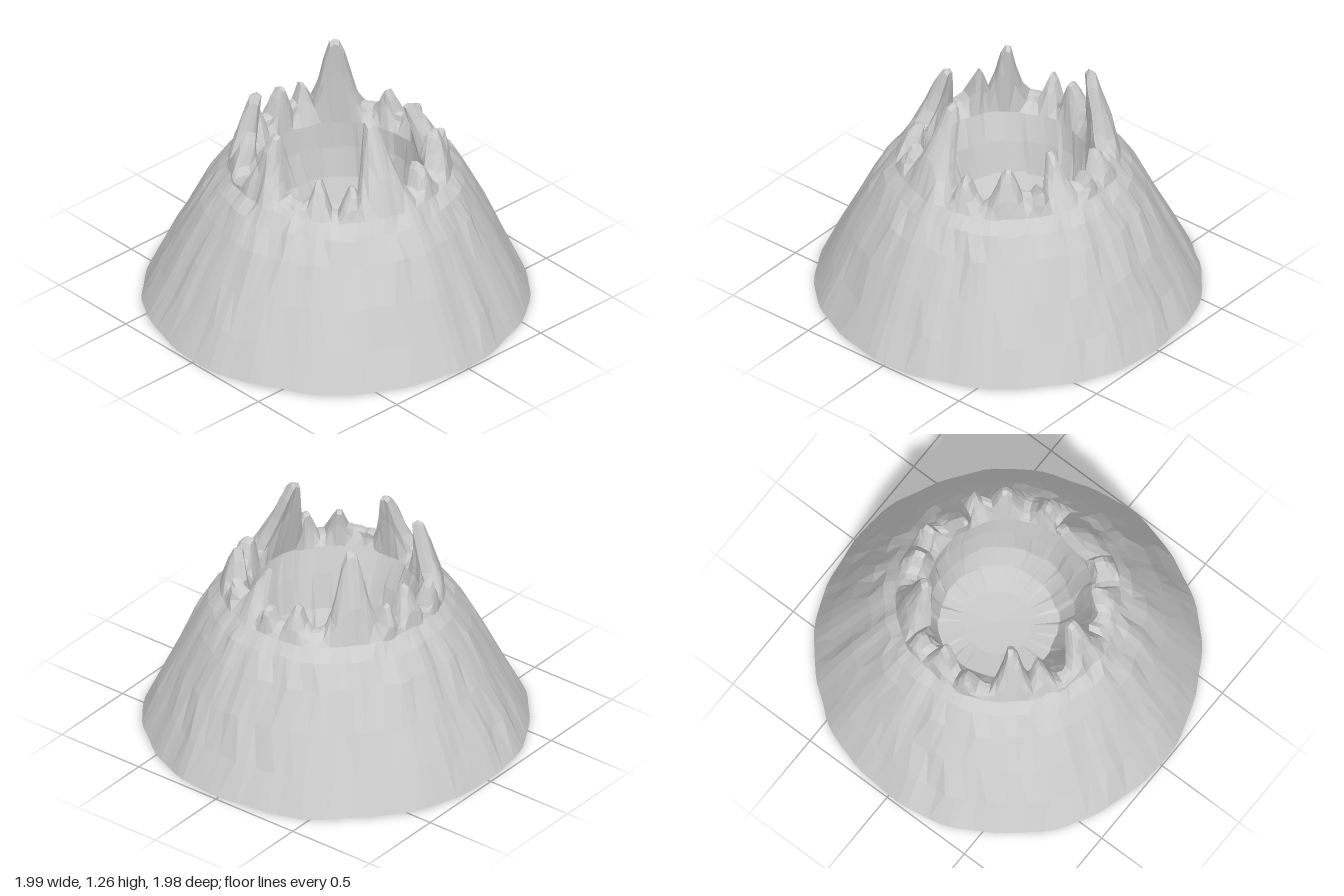
import * as THREE from 'three';

const COLUMNS = 104;
const TAU = Math.PI * 2;

// Repeatable noise in -1..1 for a grid cell
function noise(i, j) {
  const s = Math.sin(i * 127.1 + j * 311.7 + 4.7) * 43758.5453;
  return (s - Math.floor(s)) * 2 - 1;
}

// Crags around the crater: tip x, tip z, tip height, half width in radians
const CRAGS = [
  [-0.31, -0.28, 1.27, 0.38], [0.34, 0.08, 1.25, 0.36], [0.0, 0.41, 1.14, 0.28],
  [-0.31, 0.27, 1.18, 0.24], [0.13, -0.38, 1.04, 0.2], [0.39, -0.32, 1.04, 0.3],
  [-0.46, -0.04, 1.01, 0.24], [-0.43, 0.38, 1.03, 0.17], [0.27, 0.36, 0.97, 0.17],
  [0.41, 0.27, 0.95, 0.16], [-0.23, 0.38, 1.03, 0.16], [-0.5, 0.12, 0.98, 0.16],
  [-0.12, -0.47, 0.97, 0.18], [0.3, -0.44, 0.95, 0.14], [0.48, -0.12, 0.97, 0.18],
  [-0.47, -0.19, 0.97, 0.14], [0.14, 0.45, 0.86, 0.12], [0.02, -0.52, 0.93, 0.14],
].map(([x, z, h, w]) => ({ x, z, h, w, angle: Math.atan2(z, x) }));

function polar(radius, angle, y, cx = 0, cz = 0) {
  return new THREE.Vector3(cx + radius * Math.cos(angle), y, cz + radius * Math.sin(angle));
}

// Top of the rim in one direction: the plain lip pulled to the strongest crag
function crest(angle, i) {
  const lip = polar(0.5 + 0.015 * noise(i >> 1, 40), angle, 0.825 + 0.025 * noise(i >> 1, 41));
  let rise = 0, pull = 0, target = lip;
  for (const c of CRAGS) {
    const d = Math.atan2(Math.sin(angle - c.angle), Math.cos(angle - c.angle));
    const b = Math.min(1, Math.max(0, 1 - Math.abs(d) / c.w) * 1.3) ** 1.3;
    if (b * (c.h - 0.8) <= rise) continue;
    rise = b * (c.h - 0.8);
    pull = b;
    // keep the tip blunt by spreading it sideways and rounding it off
    const spread = d * 0.4;
    target = new THREE.Vector3(c.x - spread * Math.sin(angle), c.h - 3 * d * d, c.z + spread * Math.cos(angle));
  }
  return lip.lerp(target, pull);
}

function makeRing(fn) {
  return Array.from({ length: COLUMNS }, (_, i) => fn((i / COLUMNS) * TAU, i));
}

// Skin a stack of closed rings, listed up the outside and down the inside
function skin(name, rings, material) {
  const positions = rings.flatMap(r => r.flatMap(p => p.toArray()));
  const index = [];
  for (let j = 0; j < rings.length - 1; j++) {
    for (let i = 0; i < COLUMNS; i++) {
      const n = (i + 1) % COLUMNS;
      const a = j * COLUMNS + i, b = j * COLUMNS + n;
      const c = a + COLUMNS, d = b + COLUMNS;
      if ((i + j) % 2) index.push(a, c, b, b, c, d);
      else index.push(a, c, d, a, d, b);
    }
  }
  const geometry = new THREE.BufferGeometry();
  geometry.setAttribute('position', new THREE.Float32BufferAttribute(positions, 3));
  geometry.setIndex(index);
  geometry.computeVertexNormals();
  const mesh = new THREE.Mesh(geometry, material);
  mesh.name = name;
  return mesh;
}

export function createModel() {
  const group = new THREE.Group();
  group.name = 'volcano';
  const material = new THREE.MeshStandardMaterial({
    color: 0xcccccc, flatShading: true, side: THREE.DoubleSide,
  });

  // Outer slope: gently bulging cone with gullies, fuller on the back left
  const profile = [[0.99, 0.012], [0.9, 0.2], [0.805, 0.4], [0.705, 0.6], [0.632, 0.72], [0.575, 0.79]];
  const slope = profile.map(([r, y], j) => makeRing((a, i) => {
    const gully = 0.005 * Math.sin(a * 9 + 1) + 0.003 * Math.sin(a * 23);
    const lean = 0.025 * y * Math.cos(a + 0.6);
    const rough = j === 0 ? 0.002 : 0.007;
    const wave = j === 0 ? 0.004 * Math.sin(a * 7) + 0.003 * Math.sin(a * 13) : 0.01 * noise(i >> 1, j + 20);
    return polar(r + gully + lean + rough * noise(i >> 1, j), a, y + wave);
  }));

  // Crater bowl: steep wall running down to a flat, slightly offset floor
  const bowlProfile = [[0.43, 0.76, 0], [0.405, 0.62, -0.03], [0.37, 0.45, -0.05], [0.305, 0.31, -0.07],
    [0.17, 0.288, -0.075], [0, 0.28, -0.08]];
  const bowl = bowlProfile.map(([r, y, cz], j) => makeRing((a, i) => {
    const rough = r > 0.2 ? 0.008 : 0;
    return polar(r + rough * noise(i >> 2, j + 60), a, y + rough * noise(i >> 2, j + 70), 0.015, cz);
  }));

  // Craggy rim: thick leaning spikes between the slope and the bowl
  const tops = makeRing(crest);
  const outerFoot = slope[slope.length - 1], innerFoot = bowl[0];
  const side = (foot, t, offset, seed) => makeRing((a, i) => {
    const push = offset + 0.006 * noise(i >> 1, seed);
    return foot[i].clone().lerp(tops[i], t).add(polar(push, a, 0));
  });
  const rim = [
    outerFoot,
    side(outerFoot, 0.4, 0.018, 80),
    side(outerFoot, 0.75, 0.025, 81),
    side(outerFoot, 0.95, 0.022, 82),
    tops,
    side(innerFoot, 0.95, -0.022, 83),
    side(innerFoot, 0.6, -0.01, 84),
    innerFoot,
  ];

  group.add(
    skin('outerSlope', slope, material),
    skin('craggyRim', rim, material),
    skin('craterBowl', bowl, material),
  );
  return group;
}
